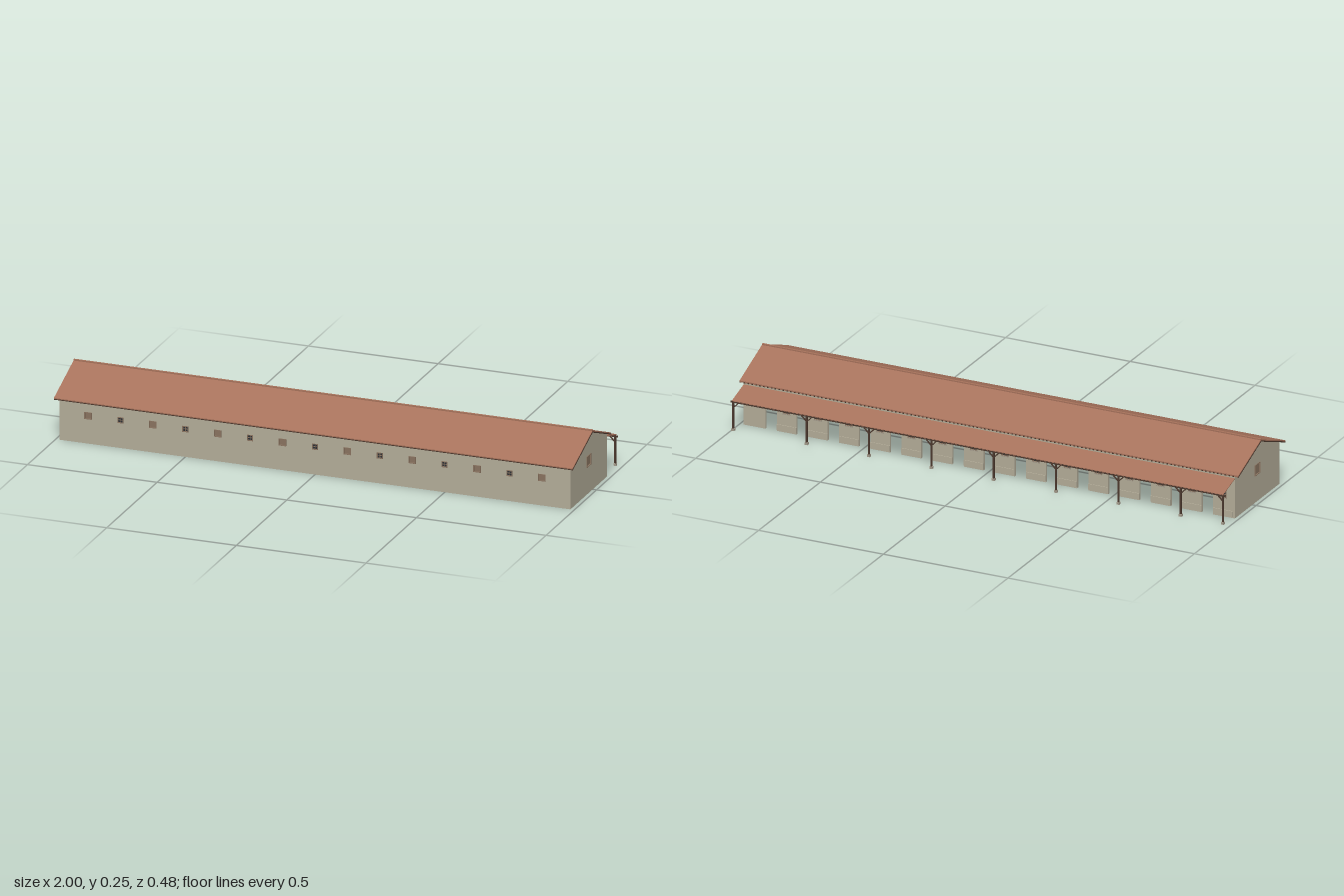
import * as THREE from 'three';

const mat = (color, side = THREE.FrontSide) => new THREE.MeshStandardMaterial({ color, side });
const WALL = mat(0xb5ae9a), ROOF = mat(0xa8735c), WOOD = mat(0x4d392e),
  SHUTTER = mat(0x8a7460), DARK = mat(0x2b2f35), STONE = mat(0xa59c8c);

const FRONT = 0.22, BACK = -0.142, RIDGE = 0.04, END = 0.985, T = 0.01, SLOPE = 0.39;
const roofY = z => 0.236 - SLOPE * Math.abs(z - RIDGE); // underside of the main roof

function mesh(name, geometry, material, parent) {
  const m = new THREE.Mesh(geometry, material);
  m.name = name;
  parent.add(m);
  return m;
}

function box(name, w, h, d, x, y, z, material, parent) {
  const m = mesh(name, new THREE.BoxGeometry(w, h, d), material, parent);
  m.position.set(x, y, z);
  return m;
}

const polygon = pts => new THREE.Shape(pts.map(p => new THREE.Vector2(p[0], p[1])));

function hole(shape, x, y, w, h) {
  shape.holes.push(new THREE.Path([
    new THREE.Vector2(x - w / 2, y - h / 2), new THREE.Vector2(x - w / 2, y + h / 2),
    new THREE.Vector2(x + w / 2, y + h / 2), new THREE.Vector2(x + w / 2, y - h / 2)]));
}

const extrude = (shape, depth) =>
  new THREE.ExtrudeGeometry(shape, { depth, bevelEnabled: false });

// Extrudes a (z, y) outline along x, centred on the given x
function alongX(shape, length, x = 0) {
  return extrude(shape, length).rotateY(-Math.PI / 2).translate(x + length / 2, 0, 0);
}

// Small window: recessed pane, cross bars and a frame, facing +z
function window_(name, w, h, pane, parent) {
  const g = new THREE.Group();
  g.name = name;
  parent.add(g);
  box('pane', w, h, 0.003, 0, 0, -0.004, pane, g);
  const f = 0.0025;
  for (const s of [-1, 1]) {
    box('frameSide', f, h + f, 0.005, s * w / 2, 0, 0, SHUTTER, g);
    box('frameRail', w + f, f, 0.005, 0, s * h / 2, 0, SHUTTER, g);
  }
  if (pane === DARK) {
    box('upright', 0.0015, h, 0.003, 0, 0, -0.001, SHUTTER, g);
    box('crossbar', w, 0.0015, 0.003, 0, 0, -0.001, SHUTTER, g);
  }
  return g;
}

export function createModel() {
  const model = new THREE.Group();
  model.name = 'longBarn';
  const bays = Array.from({ length: 15 }, (_, i) => -0.875 + i * 0.125);

  // Front wall: alternating shuttered and glazed openings
  const frontTop = roofY(FRONT);
  const front = polygon([[-END, 0], [END, 0], [END, frontTop], [-END, frontTop]]);
  bays.forEach((x, i) => {
    const shuttered = i % 2 === 0, w = shuttered ? 0.026 : 0.02, h = shuttered ? 0.024 : 0.02;
    hole(front, x, 0.107, w, h);
    window_(shuttered ? 'shutteredWindow' : 'frontWindow', w, h, shuttered ? SHUTTER : DARK, model)
      .position.set(x, 0.107, FRONT);
  });
  mesh('frontWall', extrude(front, T).translate(0, 0, FRONT - T), WALL, model);

  // Back wall: open doorways cut from the ground, a window beside each
  const backTop = roofY(BACK), doorW = 0.046, doorH = 0.118;
  const outline = [[-END, 0]];
  for (const x of bays) {
    const a = x - doorW / 2, b = x + doorW / 2;
    outline.push([a, 0], [a, doorH], [b, doorH], [b, 0]);
  }
  outline.push([END, 0], [END, backTop], [-END, backTop]);
  const back = polygon(outline);
  for (const x of bays) {
    const wx = x - 0.0625;
    hole(back, wx, 0.086, 0.026, 0.026);
    const w = window_('backWindow', 0.026, 0.026, DARK, model);
    w.position.set(wx, 0.086, BACK);
    w.rotation.y = Math.PI;
    box('windowSill', 0.032, 0.003, 0.006, wx, 0.072, BACK - 0.001, STONE, model);
    box('plinth', 0.125 - doorW, 0.022, 0.003, wx, 0.016, BACK - 0.0015, WALL, model);
  }
  mesh('backWall', extrude(back, T).translate(0, 0, BACK), WALL, model);

  // Gable ends with one shuttered window each
  for (const s of [-1, 1]) {
    const gable = polygon([[BACK, 0], [FRONT, 0], [FRONT, frontTop], [RIDGE, roofY(RIDGE)], [BACK, backTop]]);
    hole(gable, 0.04, 0.125, 0.04, 0.04);
    mesh('gableWall', alongX(gable, T, s * (END - T / 2)), WALL, model);
    const w = window_('gableWindow', 0.04, 0.04, SHUTTER, model);
    w.position.set(s * END, 0.125, 0.04);
    w.rotation.y = s * Math.PI / 2;
  }

  // Main roof: one folded slab with a ridge cap
  const zf = 0.238, zb = -0.145, th = 0.006;
  const roof = polygon([[zb, roofY(zb)], [RIDGE, roofY(RIDGE)], [zf, roofY(zf)],
    [zf, roofY(zf) + th], [RIDGE, roofY(RIDGE) + th], [zb, roofY(zb) + th]]);
  mesh('mainRoof', alongX(roof, 2), ROOF, model);
  box('ridgeCap', 2, 0.005, 0.008, 0, 0.2425, RIDGE, ROOF, model);
  // Dark verge boards and eave boards
  for (const s of [-1, 1]) {
    const verge = polygon([[zb, roofY(zb) - 0.002], [RIDGE, roofY(RIDGE) - 0.002], [zf, roofY(zf) - 0.002],
      [zf, roofY(zf) + 0.002], [RIDGE, roofY(RIDGE) + 0.002], [zb, roofY(zb) + 0.002]]);
    mesh('vergeBoard', alongX(verge, 0.003, s * 0.999), WOOD, model);
  }
  box('frontEaveBoard', 2, 0.003, 0.002, 0, roofY(zf) + 0.001, zf, WOOD, model);

  // Canopy over the doorways
  const c0 = [-0.14, 0.154], c1 = [-0.238, 0.126];
  const canopy = polygon([c1, c0, [c0[0], c0[1] + 0.003], [c1[0], c1[1] + 0.003]]);
  mesh('canopyRoof', alongX(canopy, 2 * END), ROOF, model);
  const lining = polygon([[c1[0] + 0.002, c1[1] - 0.001], [c0[0], c0[1] - 0.001], c0, [c1[0] + 0.002, c1[1] + 0.0005]]);
  mesh('canopyLining', alongX(lining, 2 * END - 0.006), WOOD, model);
  box('canopyBeam', 1.985, 0.005, 0.005, 0, 0.1225, -0.232, WOOD, model);

  // Rafter ends along the canopy and the back eave
  for (let i = 0; i <= 126; i++) {
    const x = -0.98 + i * 1.96 / 126;
    box('canopyRafterEnd', 0.005, 0.003, 0.004, x, 0.1265, -0.238, WOOD, model);
    box('eaveRafterEnd', 0.005, 0.004, 0.004, x, roofY(zb) + 0.001, zb, WOOD, model);
  }

  // Posts with stone feet and diagonal braces
  const posts = [-0.982, 0.982];
  for (let i = 0; i < 7; i++) posts.push(0.6875 - i * 0.25);
  for (const x of posts) {
    box('canopyPost', 0.006, 0.105, 0.006, x, 0.0705, -0.232, WOOD, model);
    box('postFoot', 0.011, 0.009, 0.011, x, 0.0155, -0.232, STONE, model);
    for (const s of [-1, 1]) {
      if (Math.abs(x + s * 0.02) > 0.99) continue;
      const brace = box('postBrace', 0.004, 0.028, 0.004, x + s * 0.01, 0.11, -0.232, WOOD, model);
      brace.rotation.z = -s * Math.PI / 4;
    }
  }
  return model;
}
